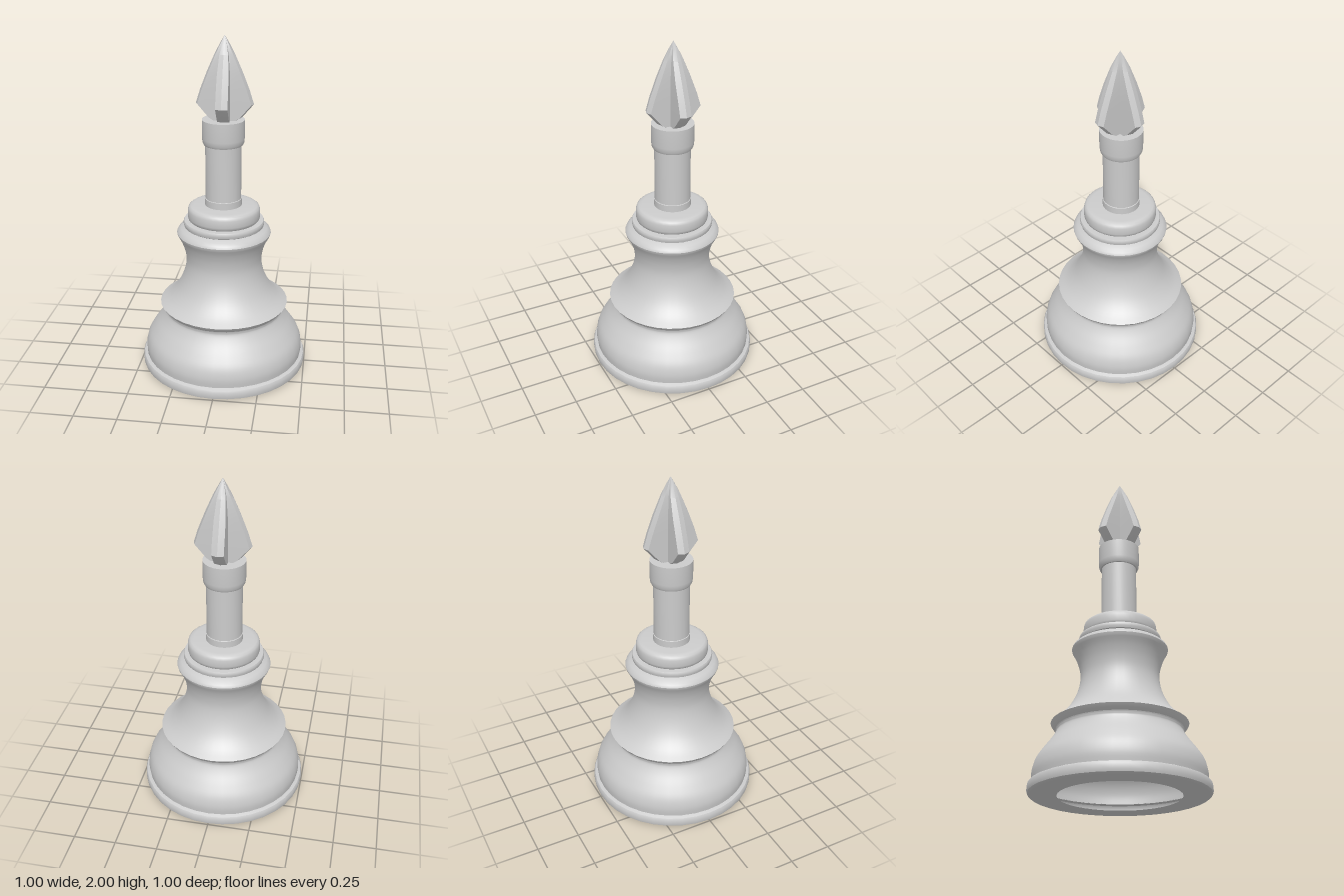
import * as THREE from 'three';
import { toCreasedNormals } from 'three/addons/utils/BufferGeometryUtils.js';

const material = new THREE.MeshStandardMaterial({ color: 0xcccccc, side: THREE.DoubleSide });

function addMesh(group, name, geometry, crease = 0.65) {
  const mesh = new THREE.Mesh(toCreasedNormals(geometry, crease), material);
  mesh.name = name;
  group.add(mesh);
  return mesh;
}

const points = (list) => list.map(([x, y]) => new THREE.Vector2(x, y));
const smooth = (list, n) => new THREE.SplineCurve(points(list)).getPoints(n);
const lathe = (profile) => new THREE.LatheGeometry(profile, 36);

// Four crossed blades: a plus-shaped section swept through [height, reach, half thickness]
function finialGeometry() {
  const levels = [
    [1.525, 0.07, 0.034], [1.545, 0.1, 0.034], [1.62, 0.164, 0.034], [1.7, 0.139, 0.034],
    [1.8, 0.1, 0.032], [1.9, 0.056, 0.024], [1.96, 0.024, 0.012], [2, 0.0005, 0.0003],
  ];
  const position = [], index = [], count = 16;
  for (const [y, r, w] of levels) {
    for (let q = 0; q < 4; q++) {
      const c = Math.cos(q * Math.PI / 2), s = Math.sin(q * Math.PI / 2);
      const shoulder = Math.max(r - w * 0.35, w);
      for (const [a, b] of [[shoulder, -w], [r, 0], [shoulder, w], [w, w]]) {
        position.push(a * c - b * s, y, -(a * s + b * c));
      }
    }
  }
  for (let l = 0; l < levels.length - 1; l++) {
    for (let i = 0; i < count; i++) {
      const a = l * count + i, b = l * count + (i + 1) % count;
      index.push(a, b, b + count, a, b + count, a + count);
    }
  }
  // Bottom cap
  const center = position.length / 3;
  position.push(0, levels[0][0], 0);
  for (let i = 0; i < count; i++) index.push(center, (i + 1) % count, i);
  const geometry = new THREE.BufferGeometry();
  geometry.setAttribute('position', new THREE.Float32BufferAttribute(position, 3));
  geometry.setIndex(index);
  return geometry;
}

export function createModel() {
  const model = new THREE.Group();
  model.name = 'turnedPiece';

  // Foot: flat ring underneath, open in the middle, with a rounded rim
  addMesh(model, 'footRim', lathe(points([
    [0.34, 0], [0.485, 0], [0.497, 0.008], [0.5, 0.02], [0.5, 0.048], [0.494, 0.06], [0.475, 0.068],
  ])));

  // Bulging lower bell, up to the groove under the skirt
  addMesh(model, 'lowerBell', lathe(smooth([
    [0.475, 0.066], [0.478, 0.12], [0.463, 0.18], [0.425, 0.24], [0.38, 0.3], [0.355, 0.345], [0.358, 0.367],
  ], 24)));

  // Flared skirt and narrow waist
  addMesh(model, 'waist', lathe([
    ...points([[0.358, 0.367], [0.372, 0.38]]),
    ...smooth([
      [0.385, 0.4], [0.33, 0.44], [0.28, 0.5], [0.242, 0.58], [0.225, 0.66],
      [0.231, 0.73], [0.25, 0.79], [0.274, 0.835],
    ], 28),
    ...points([[0.278, 0.848], [0.272, 0.862], [0.255, 0.876], [0.228, 0.888]]),
  ]));

  // Stepped collars above the waist
  addMesh(model, 'neckRing', lathe(points([
    [0.225, 0.886], [0.234, 0.892], [0.238, 0.905], [0.238, 0.918], [0.234, 0.926], [0.2, 0.928],
  ])));
  addMesh(model, 'topPlatform', lathe(points([
    [0.2, 0.926], [0.209, 0.935], [0.213, 0.95], [0.212, 0.99], [0.207, 1.006],
    [0.195, 1.015], [0.175, 1.018], [0, 1.018],
  ])));

  // Post and its cap
  const post = addMesh(model, 'post', lathe(points([
    [0.108, 1.015], [0.108, 1.058], [0.104, 1.06], [0.104, 1.39],
  ])));
  const cap = addMesh(model, 'postCap', lathe(points([
    [0.09, 1.382], [0.112, 1.382], [0.119, 1.395], [0.122, 1.42], [0.122, 1.528], [0, 1.528],
  ])));
  post.position.set(-0.004, 0, -0.005);
  cap.position.set(-0.004, 0, -0.006);

  // Four-bladed point
  const finial = addMesh(model, 'bladedFinial', finialGeometry(), 0.6);
  finial.position.set(0.004, 0, -0.006);

  return model;
}
